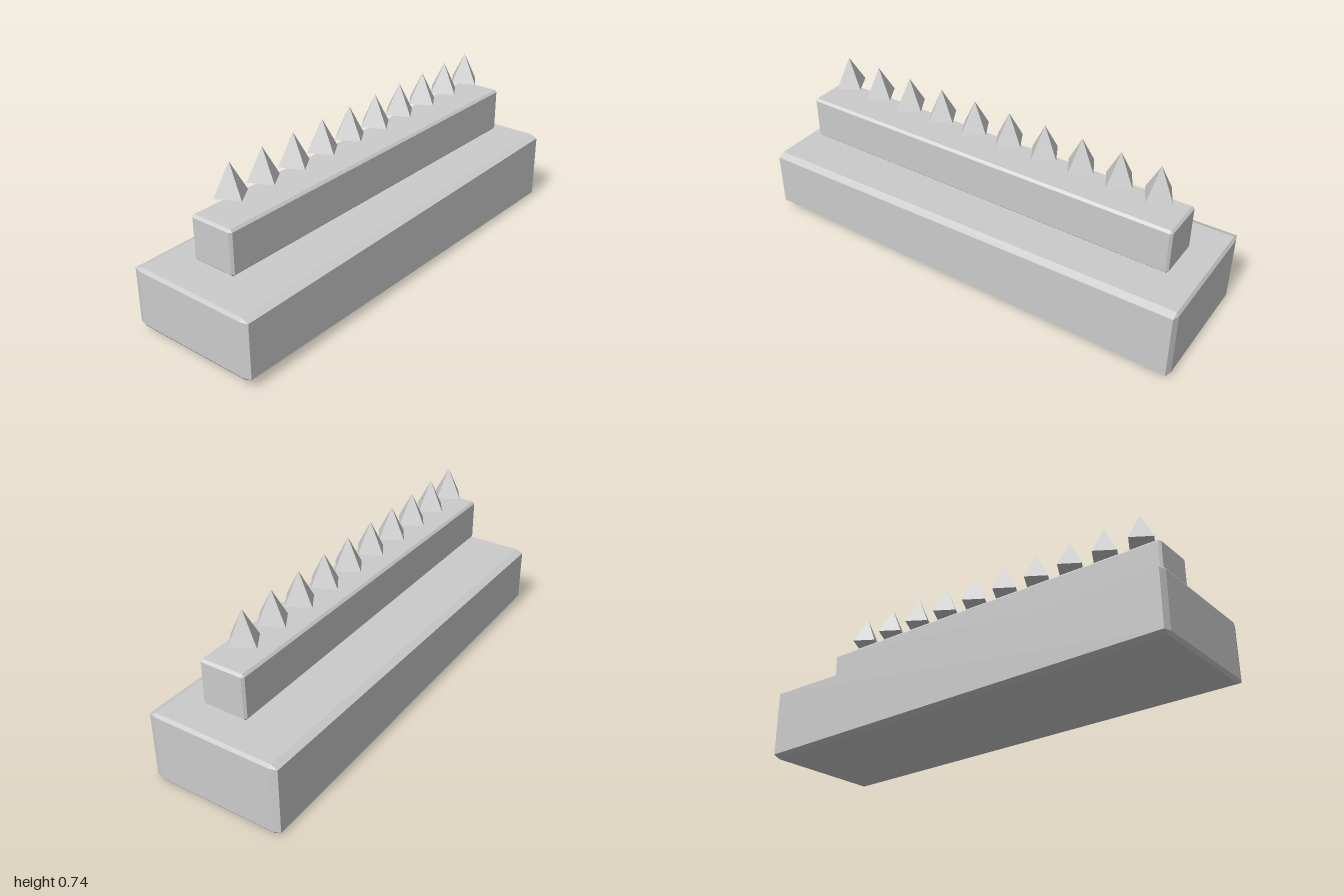
import * as THREE from 'three';
import { ConvexGeometry } from 'three/addons/geometries/ConvexGeometry.js';

const material = new THREE.MeshStandardMaterial({ color: 0xcccccc, flatShading: true });

// Chamfered block whose bottom and top heights are given at the left and right ends: [y at -x, y at +x]
function chamferedBlock(name, [x0, x1], bottom, top, [z0, z1], [cx, cy, cz]) {
  const points = [];
  for (const sx of [0, 1]) for (const sy of [0, 1]) for (const sz of [0, 1]) {
    // each corner is cut into three points, one per adjoining face
    for (const face of [0, 1, 2]) {
      const dx = face === 0 ? 0 : cx, dy = face === 1 ? 0 : cy, dz = face === 2 ? 0 : cz;
      const x = sx ? x1 - dx : x0 + dx;
      const t = (x - x0) / (x1 - x0);
      const [a, b] = sy ? top : bottom;
      const y = a + (b - a) * t + (sy ? -dy : dy);
      points.push(new THREE.Vector3(x, y, sz ? z1 - dz : z0 + dz));
    }
  }
  const mesh = new THREE.Mesh(new ConvexGeometry(points), material);
  mesh.name = name;
  return mesh;
}

export function createModel() {
  const model = new THREE.Group();
  model.name = 'spikedBlock';

  // Wide base, slightly taller at its right end, and the bar floating above it
  model.add(chamferedBlock('base', [-1, 1], [0.03, 0], [0.297, 0.321], [-0.3, 0.3], [0.01, 0.014, 0.031]));
  model.add(chamferedBlock('bar', [-0.89, 0.88], [0.354, 0.349], [0.546, 0.551], [-0.075, 0.13], [0.01, 0.01, 0.01]));

  // Row of four-sided spikes, each turned a little about its own axis
  const spikeGeometry = new THREE.ConeGeometry(0.0776, 0.131, 4);
  spikeGeometry.rotateY(-THREE.MathUtils.degToRad(15));
  spikeGeometry.scale(0.91, 1, 1);
  const spikes = new THREE.Group();
  spikes.name = 'spikes';
  for (let i = 0; i < 10; i++) {
    const spike = new THREE.Mesh(spikeGeometry, material);
    spike.name = `spike${i + 1}`;
    spike.position.set(-0.766 + i * 0.1695, 0.6725, 0.012);
    spikes.add(spike);
  }
  model.add(spikes);
  return model;
}
